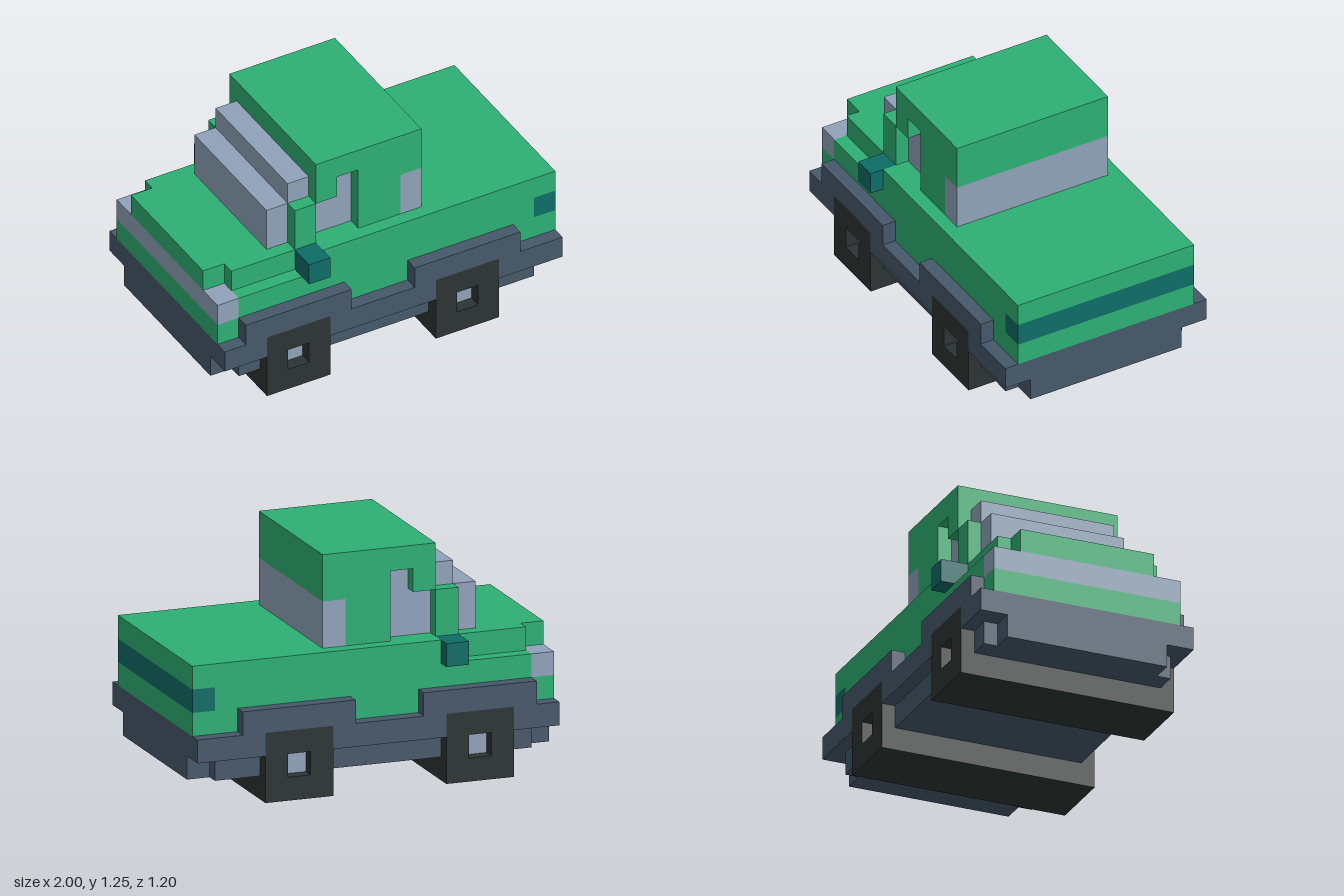
import * as THREE from 'three';

const U = 0.125; // block size along x and y
const W = 0.075; // block size along z

function makeMaterial(name, color) {
  const m = new THREE.MeshStandardMaterial({ color });
  m.name = name;
  return m;
}

export function createModel() {
  const car = new THREE.Group();
  car.name = 'blockTruck';
  const green = makeMaterial('green paint', 0x2eaf74);
  const slate = makeMaterial('slate trim', 0x46586a);
  const black = makeMaterial('black rubber', 0x2c3433);
  const grey = makeMaterial('pale grey glass', 0x90a2b9);
  const teal = makeMaterial('dark teal', 0x0e6c66);

  function add(name, geometry, material) {
    const mesh = new THREE.Mesh(geometry, material);
    mesh.name = name;
    car.add(mesh);
    return mesh;
  }

  // Box in block units: x0..x1, y0..y1, z0..z1
  function block(name, material, x0, x1, y0, y1, z0, z1) {
    const g = new THREE.BoxGeometry((x1 - x0) * U, (y1 - y0) * U, (z1 - z0) * W);
    g.translate((x0 + x1) / 2 * U, (y0 + y1) / 2 * U, (z0 + z1) / 2 * W);
    return add(name, g, material);
  }

  // Box spanning the car's width, from -half to half
  const span = (name, material, x0, x1, y0, y1, half) =>
    block(name, material, x0, x1, y0, y1, -half, half);

  // Matching boxes on both sides
  function pair(name, material, x0, x1, y0, y1, z0, z1) {
    block(name + 'Left', material, x0, x1, y0, y1, z0, z1);
    block(name + 'Right', material, x0, x1, y0, y1, -z1, -z0);
  }

  // Matching one-block-thick side panels cut from an outline, inner face at z0
  function panels(name, material, outline, z0, hole) {
    const toPoints = (pts) => pts.map(([x, y]) => new THREE.Vector2(x * U, y * U));
    const shape = new THREE.Shape(toPoints(outline));
    if (hole) shape.holes.push(new THREE.Path(toPoints(hole)));
    for (const z of [z0, -z0 - 1]) {
      const g = new THREE.ExtrudeGeometry(shape, { depth: W, bevelEnabled: false });
      g.translate(0, 0, z * W);
      add(name + (z > 0 ? 'Front' : 'Back'), g, material);
    }
  }

  // Wheels: full-width roller with a recessed square hub at each end
  for (const x of [-6, 2]) {
    span('wheelRoller', black, x, x + 3, 0, 3, 7);
    panels('tyre', black, [[x, 0], [x + 3, 0], [x + 3, 3], [x, 3]], 7,
      [[x + 1, 1], [x + 1, 2], [x + 2, 2], [x + 2, 1]]);
    pair('hub', grey, x + 1, x + 2, 1, 2, 7, 7.08);
  }

  // Chassis and bumpers
  span('chassis', slate, -7, 7, 1, 2, 7);
  span('chassisNose', slate, -8, -7, 1, 2, 6);
  span('chassisTail', slate, 7, 8, 1, 2, 6);
  span('bumperFrame', slate, -8, 8, 2, 3, 7);

  // Side skirts with raised arches and wheel cut-outs
  panels('skirt', slate, [
    [-8, 2], [-6, 2], [-6, 3], [-3, 3], [-3, 2], [2, 2], [2, 3], [5, 3], [5, 2], [8, 2],
    [8, 3], [6, 3], [6, 4], [1, 4], [1, 3], [-2, 3], [-2, 4], [-7, 4], [-7, 3], [-8, 3],
  ], 7);

  // Body, with lamp bands at both ends
  span('lowerBody', green, -8, 8, 3, 4, 7);
  span('headlampBand', grey, -8, -7, 4, 5, 7);
  span('middleBody', green, -7, 7, 4, 5, 7);
  span('tailLampBand', teal, 7, 8, 4, 5, 7);
  span('hoodNose', green, -8, -7, 5, 6, 5);
  span('hood', green, -7, -3, 5, 6, 6);
  span('upperBody', green, -3, 8, 5, 6, 7);

  // Mirrors, windscreen and its pillars
  pair('mirror', teal, -4, -3, 5, 6, 6, 8);
  pair('pillar', green, -4, -3, 6, 8, 5, 6);
  span('windscreenLower', grey, -5, -4, 6, 8, 5);
  span('windscreenUpper', grey, -4, -3, 6, 9, 5);

  // Cab core with glass behind the side openings
  span('sideGlass', grey, -3, -1, 6, 8, 5);
  span('sideGlassTop', grey, -2, -1, 8, 9, 5);
  span('cabFront', green, -3, -2, 8, 9, 5);
  span('cabMiddle', green, -1, 1, 6, 8, 5);
  span('cabRear', green, -1, 2, 8, 9, 5);
  span('roof', green, -3, 2, 9, 10, 5);
  span('rearWindow', grey, 1, 2, 6, 8, 6);

  // Cab sides with stepped window openings
  panels('cabSide', green, [
    [-1, 6], [1, 6], [1, 8], [2, 8], [2, 10], [-3, 10], [-3, 8], [-2, 8], [-2, 9], [-1, 9],
  ], 5);

  return car;
}
